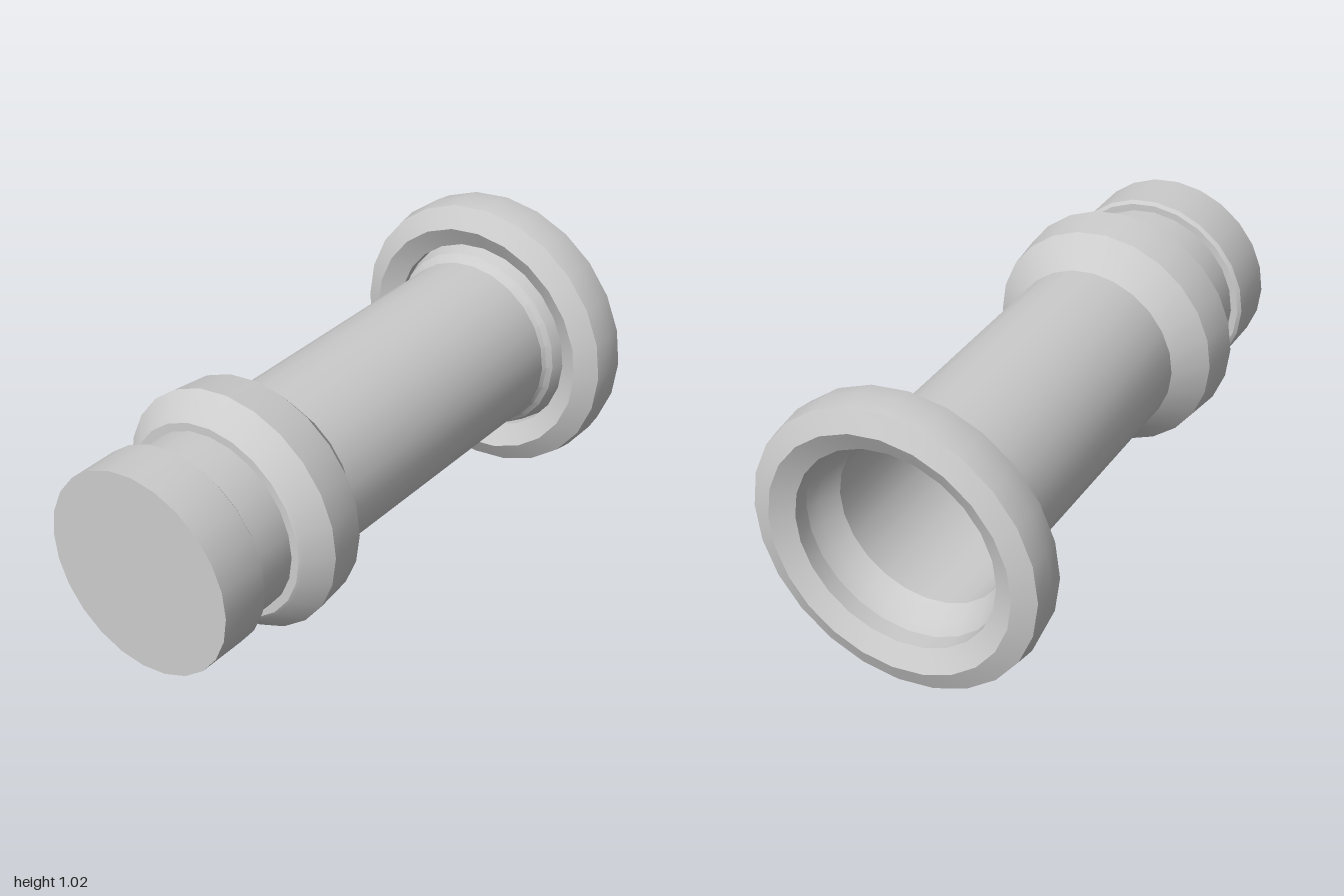
import * as THREE from 'three';
import { toCreasedNormals } from 'three/addons/utils/BufferGeometryUtils.js';

const SIDES = 24;
const AXIS_HEIGHT = 0.515;

// Turns a [radius, z] profile around the z axis; outside faces run from back to front.
function turned(name, profile, material) {
  const points = profile.map(([r, z]) => new THREE.Vector2(r, z));
  const lathe = new THREE.LatheGeometry(points, SIDES);
  lathe.rotateX(Math.PI / 2);
  const mesh = new THREE.Mesh(toCreasedNormals(lathe, 0.4), material);
  mesh.name = name;
  mesh.position.y = AXIS_HEIGHT;
  return mesh;
}

export function createModel() {
  const material = new THREE.MeshStandardMaterial({ color: 0xcccccc, side: THREE.DoubleSide });
  const group = new THREE.Group();
  group.name = 'handle';

  group.add(
    // Bevelled ring around the open back end, closed cross-section
    turned('endRing', [
      [0.357, -0.96], [0.43, -1], [0.503, -0.97], [0.512, -0.9], [0.503, -0.835],
      [0.43, -0.79], [0.357, -0.83], [0.357, -0.96],
    ], material),

    // Hollow shaft, flaring where it joins the ring
    turned('shaft', [
      [0.357, -0.87], [0.335, -0.8], [0.318, -0.785], [0.31, -0.77], [0.31, 0.34],
    ], material),

    // Inside of the shaft
    turned('bore', [
      [0, 0.6], [0.305, 0.6], [0.305, -0.79], [0.34, -0.85], [0.357, -0.9],
    ], material),

    // Collar with sloped shoulders
    turned('collar', [
      [0.31, 0.33], [0.41, 0.425], [0.425, 0.565], [0.355, 0.64], [0.345, 0.648], [0.315, 0.648],
    ], material),

    // Narrow neck between collar and cap
    turned('neck', [[0.317, 0.6], [0.317, 0.83]], material),

    // Solid front cap
    turned('frontCap', [
      [0.317, 0.81], [0.342, 0.81], [0.354, 0.82], [0.354, 1], [0, 1],
    ], material),
  );
  return group;
}
